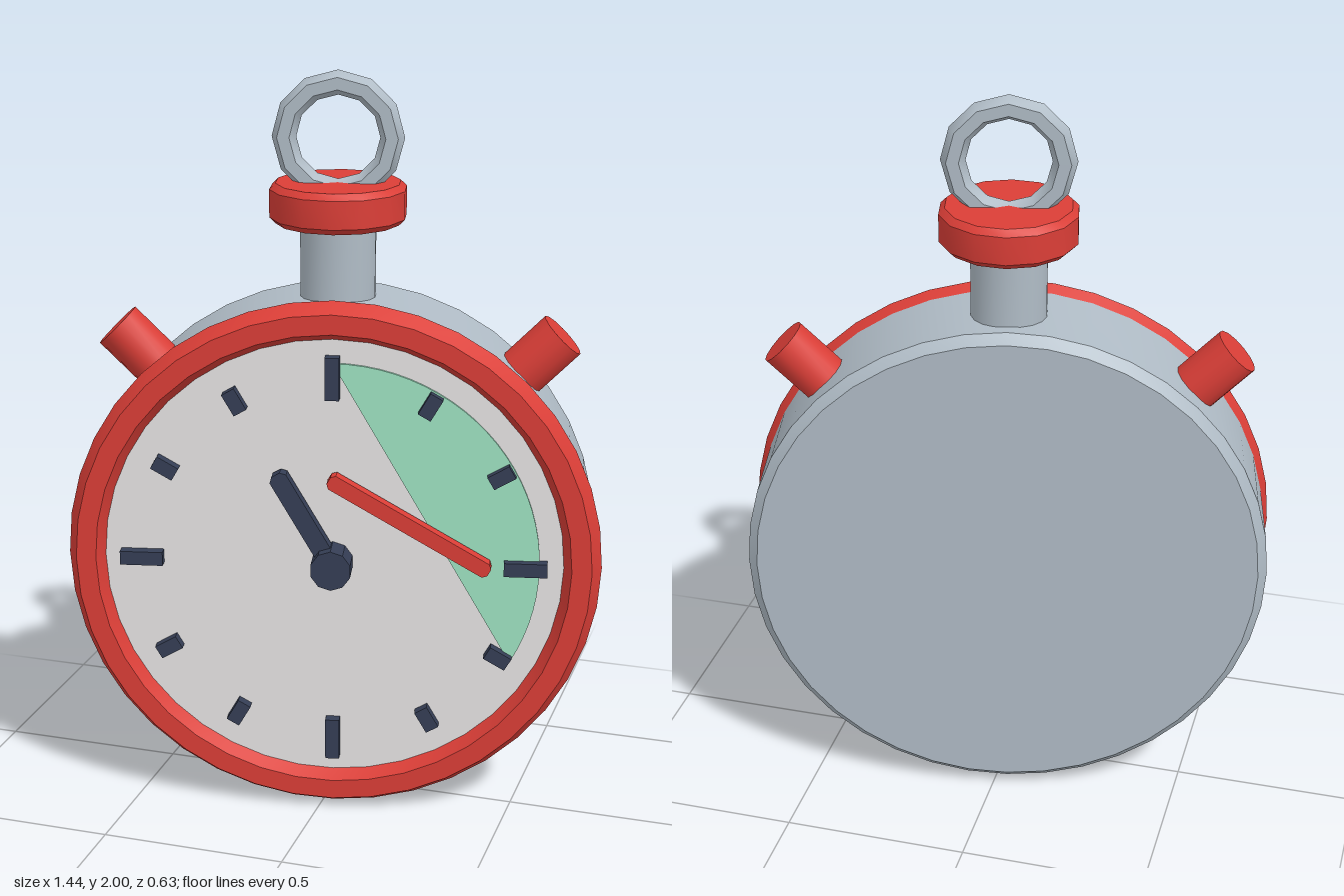
import * as THREE from 'three';
import { toCreasedNormals } from 'three/addons/utils/BufferGeometryUtils.js';

const paint = (name, color) => {
  const m = new THREE.MeshStandardMaterial({ color });
  m.name = name;
  return m;
};

export function createModel() {
  const steel = paint('steel', 0xb0bcc6);
  const red = paint('red', 0xdb3e37);
  const white = paint('dialWhite', 0xe8e6e6);
  const green = paint('timerGreen', 0x9fe4c3);
  const navy = paint('navy', 0x353e55);

  const model = new THREE.Group();
  model.name = 'stopwatch';
  model.rotation.y = 0.21;

  const add = (parent, name, geometry, material, x = 0, y = 0, z = 0, turn = 0) => {
    const mesh = new THREE.Mesh(toCreasedNormals(geometry, 0.6), material);
    mesh.name = name;
    mesh.position.set(x, y, z);
    mesh.rotation.z = turn;
    parent.add(mesh);
    return mesh;
  };
  // Solid of revolution from [radius, height] pairs, listed bottom to top
  const turned = (points, sides) =>
    new THREE.LatheGeometry(points.map(([r, h]) => new THREE.Vector2(r, h)), sides);

  // Watch head, centred on its own axis
  const head = new THREE.Group();
  head.name = 'watchHead';
  head.position.y = 0.718;
  model.add(head);

  const body = turned([[0, -0.185], [0.672, -0.185], [0.697, -0.16], [0.697, 0.12], [0, 0.12]], 40);
  add(head, 'caseBody', body.rotateX(Math.PI / 2), steel);
  add(head, 'bezel', new THREE.TorusGeometry(0.661, 0.053, 6, 40), red, 0, 0, 0.128);
  add(head, 'dial', new THREE.CylinderGeometry(0.625, 0.625, 0.03, 40).rotateX(Math.PI / 2), white, 0, 0, 0.123);

  // Coloured sector from twelve to four o'clock
  const sector = new THREE.Shape();
  sector.moveTo(0, 0);
  sector.absarc(0, 0, 0.55, -Math.PI / 6, Math.PI / 2, false);
  sector.closePath();
  add(head, 'timerSector',
    new THREE.ExtrudeGeometry(sector, { depth: 0.008, bevelEnabled: false, curveSegments: 14 }),
    green, 0, 0, 0.137);

  // Twelve hour marks, longer at the quarters
  for (let i = 0; i < 12; i++) {
    const a = (i * Math.PI) / 6;
    const length = i % 3 ? 0.065 : 0.115;
    add(head, 'hourMark', new THREE.BoxGeometry(0.038, length, 0.03), navy,
      Math.sin(a) * 0.513, Math.cos(a) * 0.513, 0.152, -a);
  }

  // Hands: thin bars with clipped corners
  const bar = (width, length, depth) => {
    const w = width / 2, l = length / 2, c = width * 0.25;
    const s = new THREE.Shape([
      [-w + c, -l], [w - c, -l], [w, -l + c], [w, l - c],
      [w - c, l], [-w + c, l], [-w, l - c], [-w, -l + c],
    ].map(([x, y]) => new THREE.Vector2(x, y)));
    return new THREE.ExtrudeGeometry(s, { depth, bevelEnabled: false });
  };
  add(head, 'shortHand', bar(0.05, 0.3, 0.035), navy, -0.072, 0.124, 0.15, Math.PI / 6);
  add(head, 'longHand', bar(0.042, 0.49, 0.035), red, 0.205, 0.12, 0.15, Math.PI / 3);
  add(head, 'handHub', new THREE.CylinderGeometry(0.055, 0.055, 0.08, 10).rotateX(Math.PI / 2),
    navy, 0, 0, 0.175);

  // Side push buttons at 45 degrees
  for (const side of [1, -1]) {
    add(head, side > 0 ? 'leftButton' : 'rightButton',
      new THREE.CylinderGeometry(0.068, 0.068, 0.22, 14), red,
      side * 0.516, 0.516, -0.028, -side * Math.PI / 4);
  }

  // Stem, crown and hanging ring
  add(model, 'stem', new THREE.CylinderGeometry(0.1, 0.1, 0.28, 18), steel, 0, 1.48, -0.028);
  add(model, 'crown', turned([[0, 0], [0.165, 0], [0.181, 0.016], [0.181, 0.09], [0.165, 0.106], [0, 0.106]], 14),
    red, 0, 1.605, -0.028);
  add(model, 'hangingRing', new THREE.TorusGeometry(0.141, 0.032, 6, 12), steel, 0, 1.827, -0.028);

  return model;
}
